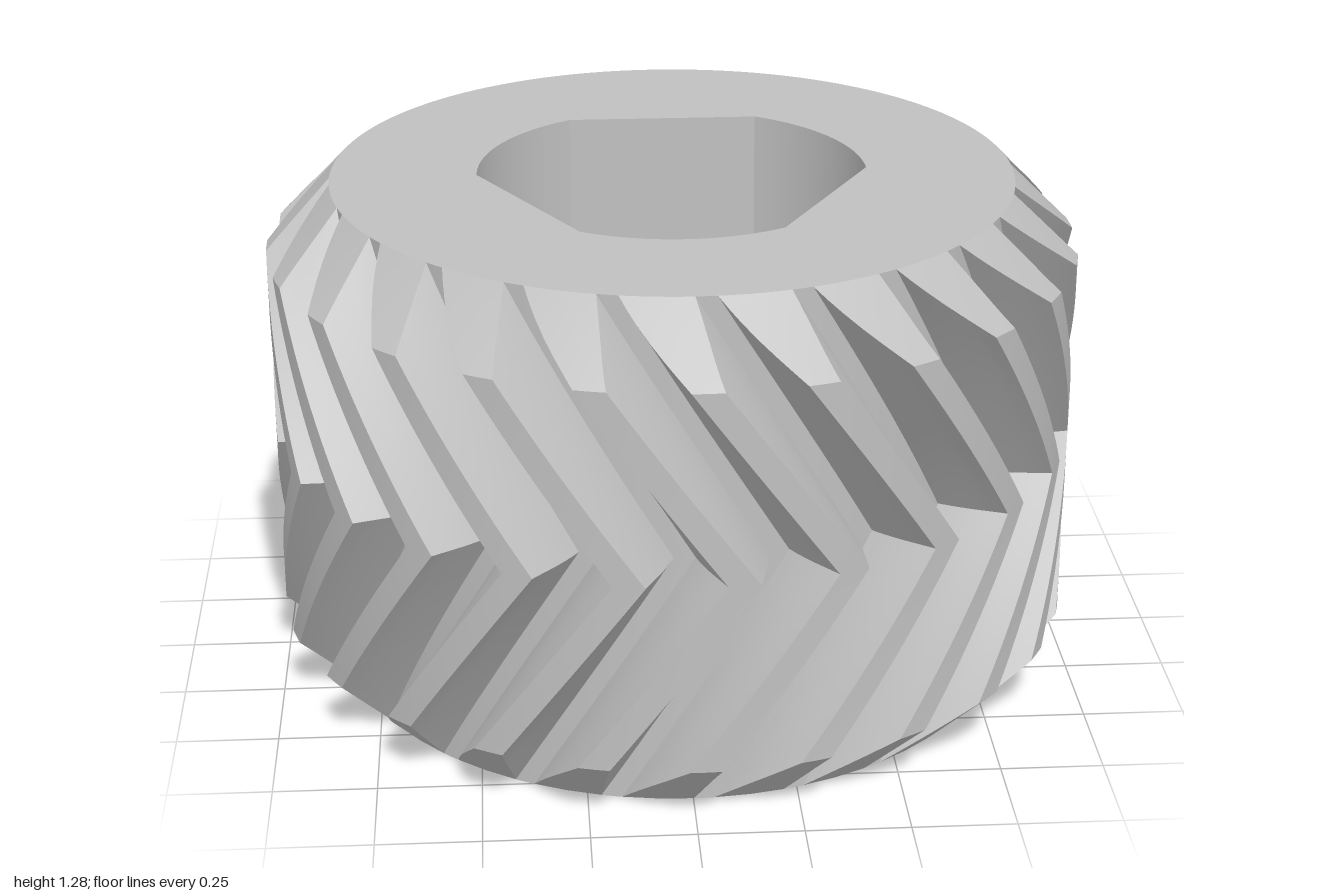
import * as THREE from 'three';
import { toCreasedNormals } from 'three/addons/utils/BufferGeometryUtils.js';

const HEIGHT = 1.28, MID = HEIGHT / 2, TEETH = 24;
const ROOT = 0.84, CHAMFER_SLOPE = 1.03; // end chamfer runs from the root circle to the tips
const TWIST = 0.73;                      // helix, radians per unit of height
const POCKET_FLOOR = 0.55;
const deg = Math.PI / 180;

// Point at radius r, angle a (from +z towards +x), height y
const polar = (r, a, y) => [r * Math.sin(a), y, r * Math.cos(a)];

// Collects quads (counter-clockwise seen from outside) into one geometry
function surface() {
  const pos = [];
  return {
    quad(a, b, c, d) { pos.push(...a, ...b, ...c, ...a, ...c, ...d); },
    build(crease) {
      const g = new THREE.BufferGeometry();
      g.setAttribute('position', new THREE.Float32BufferAttribute(pos, 3));
      return toCreasedNormals(g, crease);
    },
  };
}

// Half of a tooth: radius and half width in degrees, from root to tip
const FLANK = [[0.84, 5.8], [0.865, 5.3], [0.89, 4.75], [0.92, 4.05], [0.95, 3.3], [0.975, 2.7], [1.0, 2.15]];
const cutHeight = r => (r - ROOT) * CHAMFER_SLOPE;
const twistAt = y => (6 * deg) - TWIST * (MID - y);

// Double-helical teeth with chamfered ends; the upper half mirrors the lower
function teethGeometry() {
  const s = surface(), ROWS = 12;
  const profile = [
    [ROOT, -7.5],
    ...FLANK.map(([r, h]) => [r, -h]),
    [1, 0],
    ...FLANK.slice().reverse(),
    [ROOT, 7.5],
  ];
  const up = ([x, y, z]) => [x, HEIGHT - y, z];
  const both = (a, b, c, d) => {
    s.quad(a, b, c, d);
    s.quad(up(d), up(c), up(b), up(a));
  };
  for (let t = 0; t < TEETH; t++) {
    const base = t * 2 * Math.PI / TEETH;
    // Helical flanks, lands and root floors
    const at = ([r, h], k) => {
      const y0 = cutHeight(r), y = y0 + (MID - y0) * k / ROWS;
      return polar(r, base + h * deg + twistAt(y), y);
    };
    for (let i = 0; i < profile.length - 1; i++) {
      const p = profile[i], q = profile[i + 1];
      for (let k = 0; k < ROWS; k++) both(at(p, k), at(q, k), at(q, k + 1), at(p, k + 1));
    }
    // Conical chamfer face across each tooth end
    const cone = (i, u) => {
      const [r, h] = FLANK[i], y = cutHeight(r);
      return polar(r, base + h * u * deg + twistAt(y), y);
    };
    for (let i = 0; i < FLANK.length - 1; i++) {
      for (let u = -1; u < 1; u++) both(cone(i, u), cone(i, u + 1), cone(i + 1, u + 1), cone(i + 1, u));
    }
  }
  return s.build(0.45);
}

// Pocket outline: a circle cut by three flats, at the back and both front sides
function pocketPoint(i) {
  const a = i * 3 * deg, r = 0.48, flat = r * Math.cos(30 * deg);
  const off = Math.abs(((i * 3) % 120) - 60) * deg;
  return { r: Math.min(r, flat / Math.cos(off)), a };
}
const POCKET = Array.from({ length: 120 }, (_, i) => pocketPoint(i));

export function createModel() {
  const model = new THREE.Group();
  model.name = 'herringboneGear';
  const steel = new THREE.MeshStandardMaterial({ color: 0xc0c0c0 });
  steel.name = 'lightGrey';
  const add = (name, geometry, y = 0) => {
    const mesh = new THREE.Mesh(geometry, steel);
    mesh.name = name;
    mesh.position.y = y;
    model.add(mesh);
    return mesh;
  };

  add('teeth', teethGeometry());

  // Top face with the pocket opening, and the pocket floor
  const outline = POCKET.map(({ r, a }) => new THREE.Vector2(r * Math.sin(a), -r * Math.cos(a)));
  const top = new THREE.Shape();
  top.absarc(0, 0, ROOT, 0, Math.PI * 2);
  top.holes.push(new THREE.Path(outline));
  add('topFace', new THREE.ShapeGeometry(top, 96).rotateX(-Math.PI / 2), HEIGHT);
  add('pocketFloor', new THREE.ShapeGeometry(new THREE.Shape(outline)).rotateX(-Math.PI / 2), POCKET_FLOOR);

  // Pocket wall, facing the axis
  const wall = surface();
  POCKET.forEach((p, i) => {
    const q = POCKET[(i + 1) % POCKET.length];
    wall.quad(polar(q.r, q.a, POCKET_FLOOR), polar(p.r, p.a, POCKET_FLOOR),
      polar(p.r, p.a, HEIGHT), polar(q.r, q.a, HEIGHT));
  });
  add('pocketWall', wall.build(0.3));

  // Bottom face with a countersunk blind bore
  const bore = [[0, 0.45], [0.255, 0.45], [0.255, 0.055], [0.31, 0], [ROOT, 0]];
  const lathe = new THREE.LatheGeometry(bore.map(([x, y]) => new THREE.Vector2(x, y)), 96);
  add('bottomFaceAndBore', toCreasedNormals(lathe, 0.4));

  return model;
}
